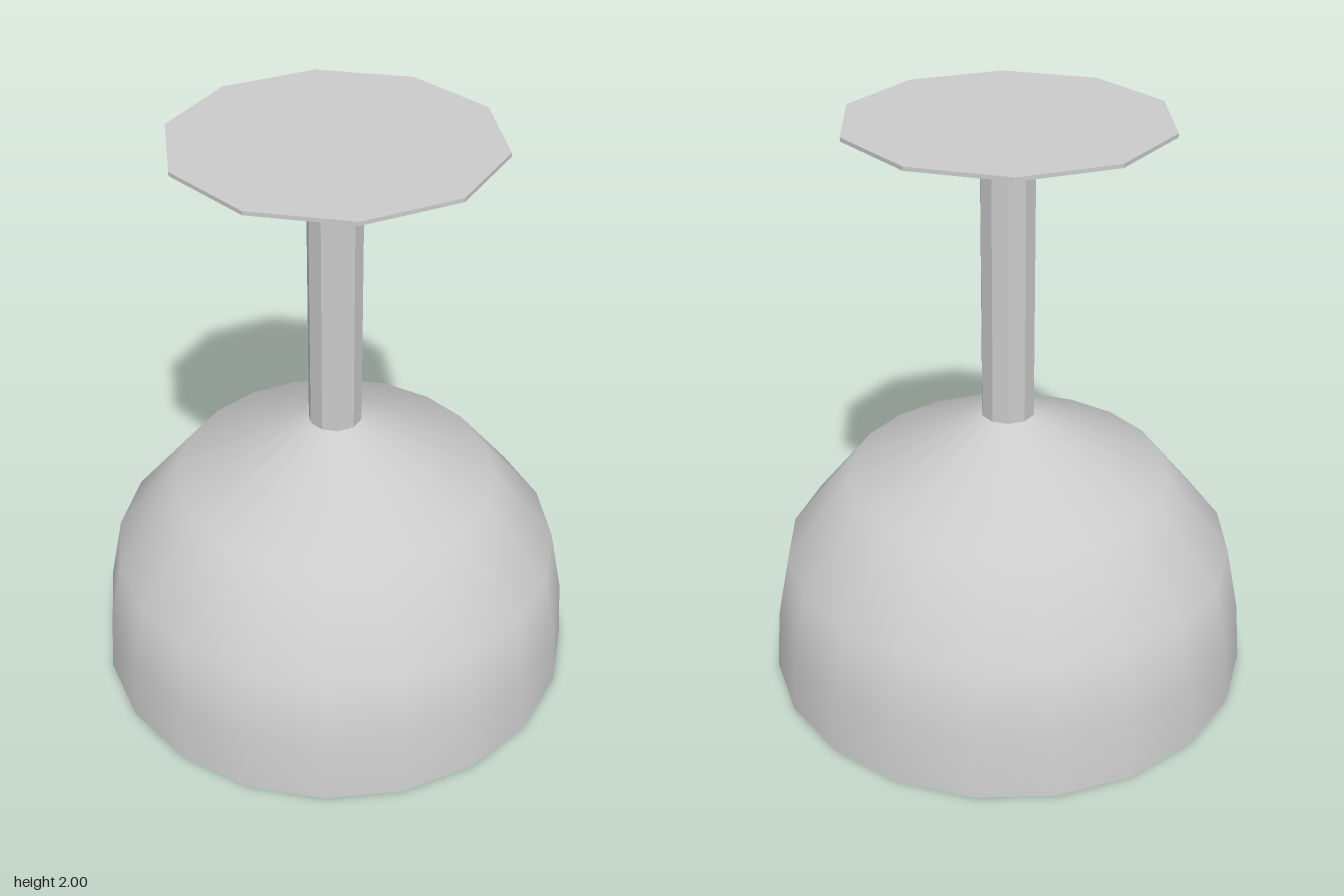
import * as THREE from 'three';

const deg = THREE.MathUtils.degToRad;
const smooth = new THREE.MeshStandardMaterial({ color: 0xcccccc });
const flat = new THREE.MeshStandardMaterial({ color: 0xcccccc, flatShading: true });

const OUTER_SIDES = 20, INNER_SIDES = 10;
const INNER_TURN = deg(22.6), STEM_TURN = deg(9.6);
const RIM_OUTER = 0.85, RIM_INNER = 0.77;

function lathe(profile, sides, turn = 0) {
  return new THREE.LatheGeometry(profile.map(([r, y]) => new THREE.Vector2(r, y)), sides, turn);
}

// Corners of a regular polygon, matching the lathe's angles (x = sin, z = cos)
function polygon(r, sides, turn = 0) {
  return Array.from({ length: sides }, (_, i) => {
    const a = turn + (i / sides) * Math.PI * 2;
    return new THREE.Vector2(r * Math.sin(a), r * Math.cos(a));
  });
}

export function createModel() {
  const model = new THREE.Group();
  function add(name, geometry, material, y = 0) {
    const mesh = new THREE.Mesh(geometry, material);
    mesh.name = name;
    mesh.position.y = y;
    model.add(mesh);
    return mesh;
  }

  // Outer bowl: smooth, opening downwards
  add('bowlOutside', lathe([[RIM_OUTER, 0], [0.832, 0.22], [0.783, 0.46], [0.557, 0.74], [0.09, 0.967]], OUTER_SIDES), smooth);

  // Inside of the bowl: faceted wall below a smooth hollow
  add('bowlInsideWall', lathe([[0.63, 0.395], [RIM_INNER, 0]], INNER_SIDES, INNER_TURN), flat);
  add('bowlInsideHollow', lathe([[0, 0.86], [0.44, 0.66], [0.63, 0.395]], INNER_SIDES, INNER_TURN), smooth);

  // Flat rim joining the outer and inner walls, facing down
  const rim = new THREE.Shape(polygon(RIM_OUTER, OUTER_SIDES));
  rim.holes.push(new THREE.Path(polygon(RIM_INNER, INNER_SIDES, INNER_TURN)));
  add('rim', new THREE.ShapeGeometry(rim).rotateX(Math.PI / 2), flat);

  // Ten-sided stem and thin foot plate
  add('stem', new THREE.CylinderGeometry(0.092, 0.092, 1.03, 10, 1, true, STEM_TURN), flat, 1.475);
  add('foot', new THREE.CylinderGeometry(0.535, 0.535, 0.013, 10, 1, false, STEM_TURN), flat, 1.9935);

  return model;
}
